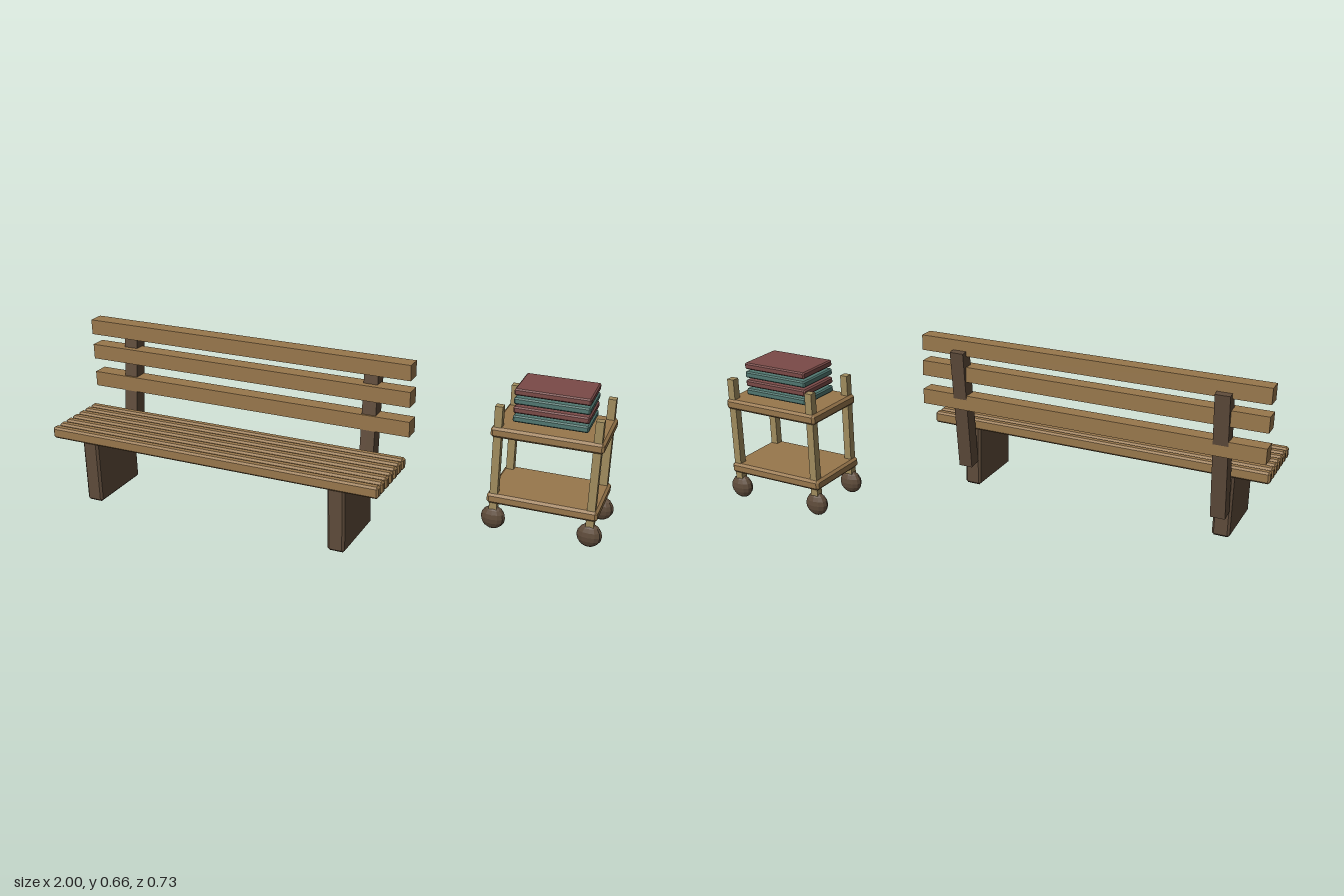
import * as THREE from 'three';
import { ConvexGeometry } from 'three/addons/geometries/ConvexGeometry.js';

const material = (color) => new THREE.MeshStandardMaterial({ color, flatShading: true });

// Box with every edge and corner cut by c
function chamferBox(w, h, d, c) {
  const points = [];
  for (const x of [-1, 1]) for (const y of [-1, 1]) for (const z of [-1, 1]) {
    for (const [a, b, e] of [[0, c, c], [c, 0, c], [c, c, 0]]) {
      points.push(new THREE.Vector3(x * (w / 2 - a), y * (h / 2 - b), z * (d / 2 - e)));
    }
  }
  return new ConvexGeometry(points);
}

function add(parent, name, geometry, mat, x, y, z) {
  const mesh = new THREE.Mesh(geometry, mat);
  mesh.name = name;
  mesh.position.set(x, y, z);
  parent.add(mesh);
  return mesh;
}

export function createModel() {
  const model = new THREE.Group();
  model.name = 'benchAndBookCart';
  const wood = material(0x98774c);
  const darkWood = material(0x5e4b3a);
  const paleWood = material(0xa08c5e);
  const red = material(0x7a4a47);
  const teal = material(0x507770);

  // Bench
  const bench = new THREE.Group();
  bench.name = 'bench';
  model.add(bench);
  const benchX = -0.342;

  const seatSlat = chamferBox(1.316, 0.044, 0.032, 0.007);
  for (let i = 0; i < 7; i++) {
    add(bench, 'seatSlat', seatSlat, wood, benchX, 0.3, 0.104 + i * 0.0408);
  }

  const legPanel = chamferBox(0.065, 0.246, 0.259, 0.008);
  const backPost = new THREE.BoxGeometry(0.054, 0.48, 0.053);
  for (const side of [-0.5, 0.5]) {
    add(bench, 'legPanel', legPanel, darkWood, benchX + side, 0.163, 0.2275);
    add(bench, 'backPost', backPost, darkWood, benchX + side, 0.38, 0.036).rotation.x = -0.132;
  }

  const backSlat = new THREE.BoxGeometry(1.316, 0.058, 0.059);
  for (const y of [0.415, 0.528, 0.628]) {
    add(bench, 'backSlat', backSlat, wood, benchX, y, 0.0325);
  }

  // Book cart
  const cart = new THREE.Group();
  cart.name = 'bookCart';
  cart.position.set(0.772, 0, -0.223);
  model.add(cart);

  const shelf = chamferBox(0.405, 0.04, 0.273, 0.009);
  add(cart, 'lowerShelf', shelf, wood, 0, 0.128, 0);
  add(cart, 'upperShelf', shelf, wood, 0, 0.391, 0);

  // Corner posts standing on flattened wheels
  const post = new THREE.BoxGeometry(0.029, 0.41, 0.029);
  const wheel = new THREE.SphereGeometry(0.046, 12, 8).scale(1, 1, 0.62);
  for (const sx of [-1, 1]) for (const sz of [-1, 1]) {
    add(cart, 'cornerPost', post, paleWood, sx * 0.178, 0.285, sz * 0.114);
    add(cart, 'wheel', wheel, darkWood, sx * 0.178, 0.046, sz * 0.114);
  }

  // Stack of books
  const book = chamferBox(0.272, 0.025, 0.181, 0.005);
  for (let i = 0; i < 4; i++) {
    add(cart, 'book', book, i % 2 ? red : teal, 0, 0.437 + i * 0.034, 0);
  }

  return model;
}
